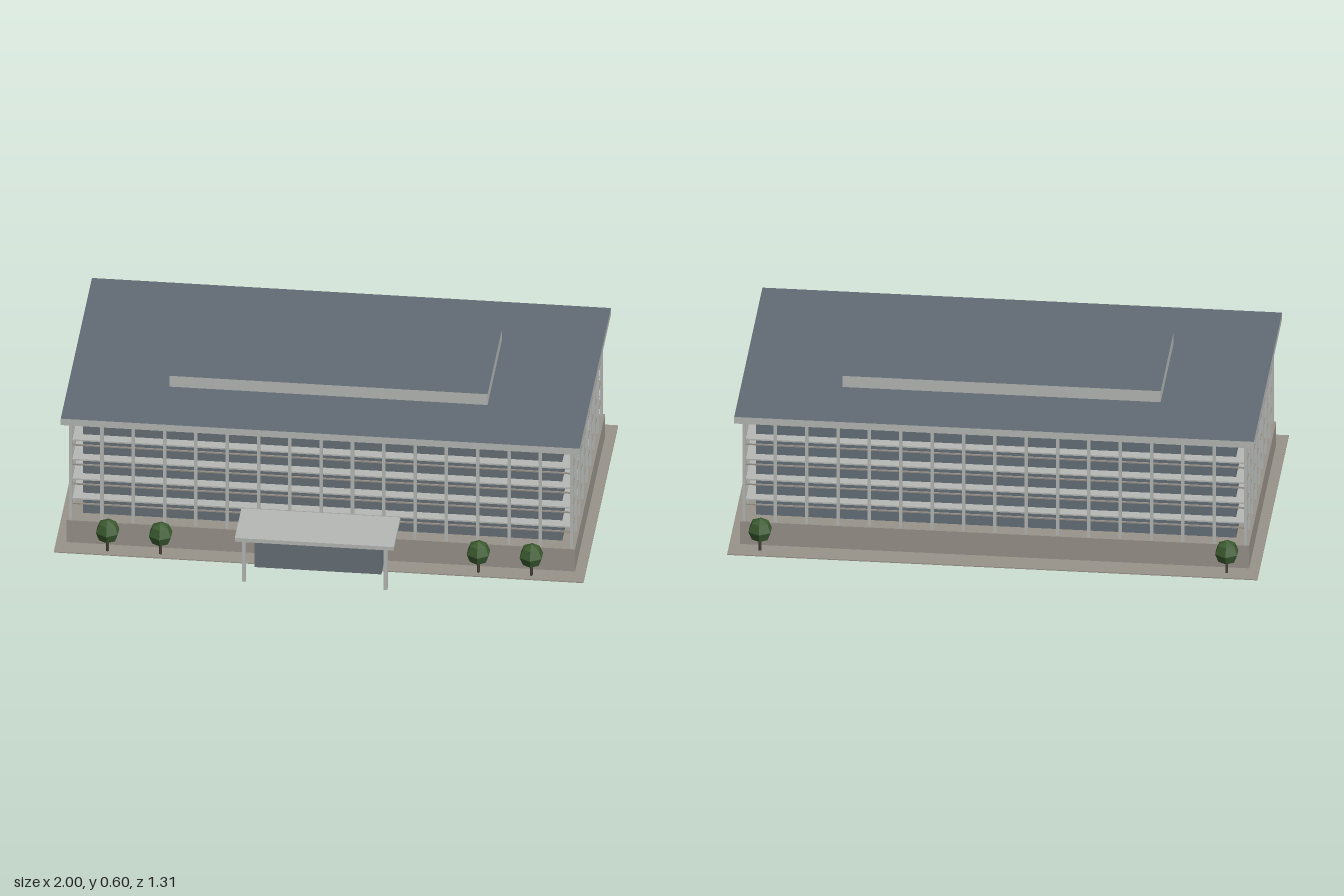
import * as THREE from 'three';

const mat = (name, color) => {
  const m = new THREE.MeshStandardMaterial({ color });
  m.name = name;
  return m;
};

export function createModel() {
  const concrete = mat('light concrete', 0xb6b8b5);
  const stone = mat('stone', 0x98938a);
  const glass = mat('slate glass', 0x667078);
  const roofing = mat('slate roofing', 0x626c74);
  const leaf = mat('leaf green', 0x3b5a2f);
  const bark = mat('bark', 0x4a4038);

  const root = new THREE.Group();
  root.name = 'officeBuilding';

  // Box given by its extents on each axis
  const box = (name, material, [x0, x1], [y0, y1], [z0, z1], parent = root) => {
    const m = new THREE.Mesh(new THREE.BoxGeometry(x1 - x0, y1 - y0, z1 - z0), material);
    m.position.set((x0 + x1) / 2, (y0 + y1) / 2, (z0 + z1) / 2);
    m.name = name;
    parent.add(m);
    return m;
  };
  const group = (name) => {
    const g = new THREE.Group();
    g.name = name;
    root.add(g);
    return g;
  };
  const around = (c, half) => [c - half, c + half];

  // Ground slab, plinth and glazed core
  const zc = -0.065;
  box('groundSlab', stone, [-1, 1], [0, 0.004], [-0.65, 0.51]);
  box('plinth', stone, [-0.96, 0.96], [0.002, 0.1], around(zc, 0.5));
  box('glassCore', glass, [-0.905, 0.905], [0.1, 0.525], around(zc, 0.44));

  // Roofs: pale edges with slate top and underside
  const roofMats = [concrete, concrete, roofing, roofing, concrete, concrete];
  box('roof', roofMats, [-0.98, 0.98], [0.525, 0.553], around(zc, 0.52));
  box('roofPlantRoom', roofMats, [-0.6, 0.6], [0.553, 0.6], around(zc, 0.24));

  // Columns standing around the perimeter
  const cx = 0.946, cz = 0.488, w = 0.006;
  const columns = group('columns');
  const column = (x, z) =>
    box('column', concrete, around(x, w), [0.1, 0.525], around(z, w), columns);
  for (let i = 0; i <= 16; i++) {
    const x = -cx + (i * 2 * cx) / 16;
    for (const s of [-1, 1]) column(x, zc + s * cz);
  }
  for (let i = 1; i < 8; i++) {
    const z = zc - cz + (i * 2 * cz) / 8;
    for (const s of [-1, 1]) column(s * cx, z);
  }

  // Balcony slab and lower rail at each floor
  const floors = group('floors');
  for (let i = 1; i <= 4; i++) {
    const y = 0.1 + i * 0.085;
    box('floorSlab', concrete, around(0, 0.94), around(y, 0.003), around(zc, 0.482), floors);
    const ry = around(y - 0.018, 0.0025);
    for (const s of [-1, 1]) {
      box('longRail', stone, around(0, 0.943), ry, around(zc + s * 0.485, 0.003), floors);
      box('sideRail', stone, around(s * 0.943, 0.003), ry, around(zc, 0.485), floors);
    }
  }

  // Entrance block with canopy on two posts
  box('entrance', glass, [-0.24, 0.24], [0.002, 0.18], [0.43, 0.535]);
  box('canopy', concrete, [-0.3, 0.3], [0.18, 0.196], [0.435, 0.655]);
  for (const s of [-1, 1])
    box('canopyPost', concrete, around(s * 0.268, 0.007), [0, 0.18], around(0.636, 0.007));

  // Low-poly trees
  const crownGeo = new THREE.SphereGeometry(0.048, 6, 4).rotateY(Math.PI / 2).toNonIndexed();
  crownGeo.computeVertexNormals();
  const trunkGeo = new THREE.CylinderGeometry(0.006, 0.006, 0.05, 6);
  const tree = (x, z) => {
    const t = group('tree');
    const trunk = new THREE.Mesh(trunkGeo, bark);
    trunk.name = 'trunk';
    trunk.position.y = 0.025;
    const crown = new THREE.Mesh(crownGeo, leaf);
    crown.name = 'crown';
    crown.position.y = 0.09;
    t.add(trunk, crown);
    t.position.set(x, 0, z);
  };
  for (const s of [-1, 1]) {
    tree(s * 0.8, 0.48);
    tree(s * 0.6, 0.48);
    tree(s * 0.88, -0.606);
  }

  return root;
}
